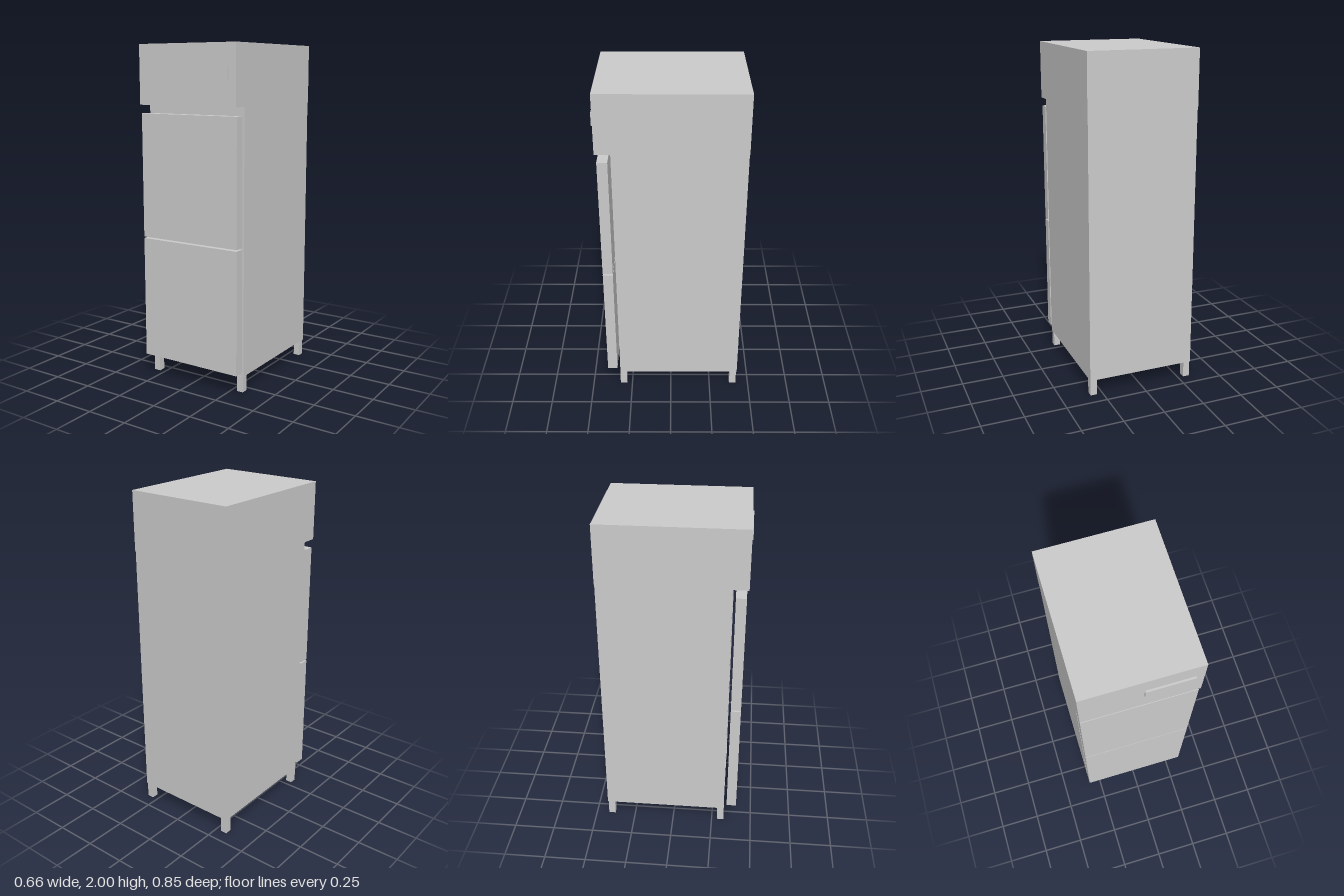
import * as THREE from 'three';

const material = new THREE.MeshStandardMaterial({ color: 0xcccccc });

// Box given by its minimum and maximum corners
function box(name, [x0, y0, z0], [x1, y1, z1]) {
  const mesh = new THREE.Mesh(new THREE.BoxGeometry(x1 - x0, y1 - y0, z1 - z0), material);
  mesh.name = name;
  mesh.position.set((x0 + x1) / 2, (y0 + y1) / 2, (z0 + z1) / 2);
  return mesh;
}

function rectangle(Type, x0, y0, x1, y1) {
  return new Type([[x0, y0], [x1, y0], [x1, y1], [x0, y1]].map(p => new THREE.Vector2(...p)));
}

export function createModel() {
  const cabinet = new THREE.Group();
  cabinet.name = 'uprightCabinet';

  // Hollow insulated body: four walls extruded front to back, closed by a back panel
  const section = rectangle(THREE.Shape, -0.328, 0.097, 0.328, 1.655);
  section.holes.push(rectangle(THREE.Path, -0.28, 0.15, 0.28, 1.6));
  const walls = new THREE.Mesh(
    new THREE.ExtrudeGeometry(section, { depth: 0.705, bevelEnabled: false }), material);
  walls.name = 'bodyWalls';
  walls.position.z = -0.38;
  cabinet.add(walls, box('backPanel', [-0.328, 0.097, -0.425], [0.328, 1.655, -0.38]));

  // Overhanging control housing with its display
  cabinet.add(
    box('controlHousing', [-0.33, 1.655, -0.427], [0.33, 2, 0.414]),
    box('displayPanel', [0.015, 1.8, 0.41], [0.282, 1.875, 0.425]));

  // Two stacked half doors, standing slightly clear of the body
  cabinet.add(
    box('lowerDoor', [-0.328, 0.127, 0.343], [0.328, 0.86, 0.403]),
    box('upperDoor', [-0.328, 0.869, 0.343], [0.328, 1.605, 0.403]));

  // Square legs
  for (const x of [-0.305, 0.305]) {
    for (const z of [-0.4, 0.305]) {
      cabinet.add(box('leg', [x - 0.02, 0, z - 0.021], [x + 0.02, 0.097, z + 0.021]));
    }
  }
  return cabinet;
}
